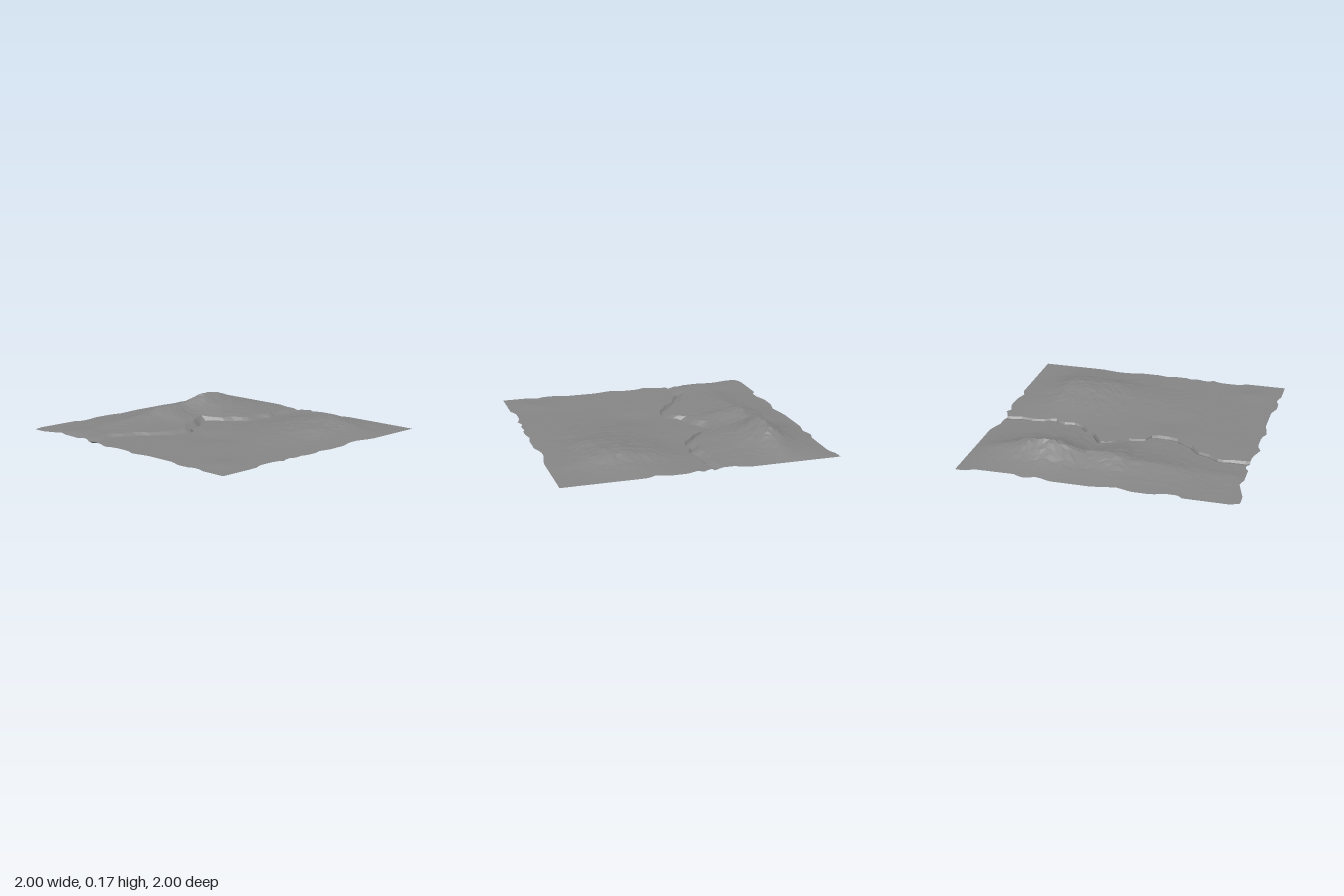
import * as THREE from 'three';

// piecewise linear profile through [t, value] pairs
function lerpTable(table, t) {
  if (t <= table[0][0]) return table[0][1];
  for (let i = 1; i < table.length; i++) {
    const [a, va] = table[i - 1], [b, vb] = table[i];
    if (t <= b) return va + (vb - va) * (t - a) / (b - a);
  }
  return table[table.length - 1][1];
}

// ragged outline: z along x for north and south, x along z for west and east
const north = [[-1, -0.97], [-0.94, -1], [-0.61, -1], [-0.58, -0.97], [-0.5, -0.97], [-0.4, -1], [-0.26, -1],
  [-0.16, -0.97], [0.02, -1], [0.32, -1], [0.41, -0.97], [0.51, -1], [0.58, -0.97], [0.87, -0.97], [0.93, -1]];
const south = [[-0.68, 1], [-0.64, 0.97], [-0.48, 0.97], [-0.42, 1], [-0.36, 0.97], [-0.29, 1], [-0.24, 0.98],
  [-0.2, 1], [-0.1, 1], [-0.03, 0.98], [0.02, 1], [0.2, 1], [0.29, 0.97], [0.38, 0.97], [0.52, 1]];
const west = [[-0.97, -1], [-0.88, -1], [-0.72, -0.95], [-0.65, -0.97], [-0.5, -0.97], [-0.46, -0.94], [-0.4, -0.96],
  [-0.28, -0.96], [-0.16, -1], [-0.1, -0.97], [0.05, -0.97], [0.12, -1], [0.25, -0.97], [0.5, -0.97],
  [0.58, -1], [0.67, -1], [0.74, -0.97], [0.8, -1]];
const east = [[-0.33, 1], [-0.22, 0.96], [-0.05, 0.96], [0, 1], [0.04, 0.97], [0.12, 1], [0.25, 1], [0.34, 0.97], [0.39, 1]];

// gully: z of its steep southern lip along x, and height of its bed
const lip = [[-1, -0.35], [-0.82, -0.35], [-0.75, -0.37], [-0.66, -0.31], [-0.57, -0.28], [-0.5, -0.19], [-0.44, -0.16],
  [-0.4, -0.12], [-0.32, -0.1], [-0.2, -0.09], [-0.15, -0.19], [-0.02, -0.21], [0.03, -0.26], [0.09, -0.3],
  [0.16, -0.31], [0.22, -0.19], [0.31, -0.13], [0.36, -0.07], [0.42, -0.05], [0.52, -0.06], [0.6, -0.01],
  [0.66, -0.05], [0.75, -0.06], [0.84, -0.05], [0.95, -0.07]];
const bed = [[-1, 0.034], [-0.93, 0.017], [-0.6, 0.019], [-0.3, 0.015], [-0.04, 0], [0.2, 0.013], [0.5, 0.018],
  [0.94, 0.02], [1, 0.03]];

// mountain range: crest height along x, cross profile along z
const crest = [[-1, 0.037], [-0.9, 0.055], [-0.7, 0.052], [-0.5, 0.066], [-0.3, 0.078], [-0.16, 0.088], [-0.1, 0.112],
  [0.02, 0.119], [0.2, 0.105], [0.3, 0.14], [0.38, 0.168], [0.46, 0.166], [0.6, 0.148], [0.7, 0.11], [0.8, 0.085],
  [0.9, 0.06], [1, 0.037]];
const crossProfile = [[-1, 0], [-0.9, 0.12], [-0.8, 0.3], [-0.7, 0.74], [-0.64, 1], [-0.6, 0.93], [-0.53, 0.6],
  [-0.45, 0.38], [-0.35, 0.22], [-0.2, 0.12], [0, 0.05]];

// flat-topped southern hill, steep on its east and south sides
const hillX = [[-0.5, 0], [-0.2, 0.1], [0.1, 0.4], [0.35, 0.75], [0.55, 1], [0.65, 0.95], [0.76, 0.45], [0.9, 0.15], [1, 0]];
const hillZ = [[-0.05, 0], [0.1, 0.18], [0.3, 0.65], [0.48, 1], [0.58, 0.95], [0.7, 0.65], [0.76, 0.4], [0.88, 0.2], [1, 0]];

const BASE = 0.037, BANK = 0.014, SLOPE = 0.06;
const bump = (x, z, cx, cz, r, h) => h * Math.exp(-((x - cx) ** 2 + (z - cz) ** 2) / (r * r));

// seeded value in -1..1 for a lattice point
function hash(i, j) {
  const s = Math.sin(i * 127.1 + j * 311.7) * 43758.5453;
  return 2 * (s - Math.floor(s)) - 1;
}

// d is the distance south of the gully's lip
function terrainHeight(x, z, d, rough) {
  const floor = lerpTable(bed, x);
  const margin = THREE.MathUtils.clamp((0.97 - Math.max(Math.abs(x), Math.abs(z))) / 0.15, 0, 1);
  if (d < -BANK / 2) {
    // slope from the gully bed up to the mountains
    const rise = THREE.MathUtils.smoothstep(-d - BANK, 0, SLOPE);
    const range = (lerpTable(crest, x) - BASE) * lerpTable(crossProfile, z);
    const top = BASE + 0.004 * margin + range + bump(x, z, -0.04, -0.47, 0.1, 0.012);
    return floor + (top - floor) * rise + rough * margin * rise * (0.001 + range * 0.035);
  }
  // lowland with the hill, small knolls and a shallow hollow
  const hill = 0.075 * lerpTable(hillX, x) * lerpTable(hillZ, z);
  const knolls = margin * (bump(x, z, 0.3, 0.66, 0.1, 0.014) + bump(x, z, -0.8, 0.8, 0.12, 0.01)
    + bump(x, z, -0.25, 0.15, 0.15, -0.014));
  const ease = Math.min(1, d / 0.2);
  return BASE - 0.004 * (1 - ease) * margin + hill + knolls + rough * margin * ease * (0.0008 + hill * 0.06);
}

export function createModel() {
  const cols = 52, northRows = 24, southRows = 30, rows = northRows + southRows;
  const positions = [], index = [];

  // rows follow the gully: row northRows is its bed, the next row its lip
  for (let j = 0; j <= rows; j++) {
    for (let i = 0; i <= cols; i++) {
      const inner = i > 0 && i < cols && j > 0 && j < rows;
      const u = -1 + 2 * i / cols + (inner ? hash(i + 7, 5) * 0.008 : 0);
      const edge = lerpTable(lip, u);
      let z;
      if (j <= northRows - 2) {
        z = THREE.MathUtils.lerp(lerpTable(north, u), edge - BANK - SLOPE, j / (northRows - 2));
      } else if (j <= northRows) {
        z = edge - BANK - SLOPE / 2 * (northRows - j);
      } else {
        z = THREE.MathUtils.lerp(edge, lerpTable(south, u), (j - northRows - 1) / (southRows - 1));
      }
      if (inner && (j < northRows - 1 || j > northRows + 1)) z += hash(i, j + 13) * 0.008;
      // only the outer strip bends to the ragged sides
      const side = Math.max(0, (Math.abs(u) - 0.85) / 0.15);
      const x = u + (u < 0 ? lerpTable(west, z) + 1 : lerpTable(east, z) - 1) * side;
      positions.push(x, Math.max(0, terrainHeight(x, z, z - edge, hash(i, j))), z);
    }
  }

  // two triangles per cell, alternating the diagonal
  for (let j = 0; j < rows; j++) {
    for (let i = 0; i < cols; i++) {
      const a = j * (cols + 1) + i, b = a + 1, c = a + cols + 1, d = c + 1;
      if ((i + j) % 2) index.push(a, c, b, b, c, d);
      else index.push(a, c, d, a, d, b);
    }
  }

  const geometry = new THREE.BufferGeometry();
  geometry.setAttribute('position', new THREE.Float32BufferAttribute(positions, 3));
  geometry.setIndex(index);
  geometry.computeVertexNormals();

  const terrain = new THREE.Mesh(geometry, new THREE.MeshStandardMaterial({
    color: 0x868686, flatShading: true, side: THREE.DoubleSide,
  }));
  terrain.name = 'terrain';

  const group = new THREE.Group();
  group.name = 'landscape';
  group.add(terrain);
  return group;
}
